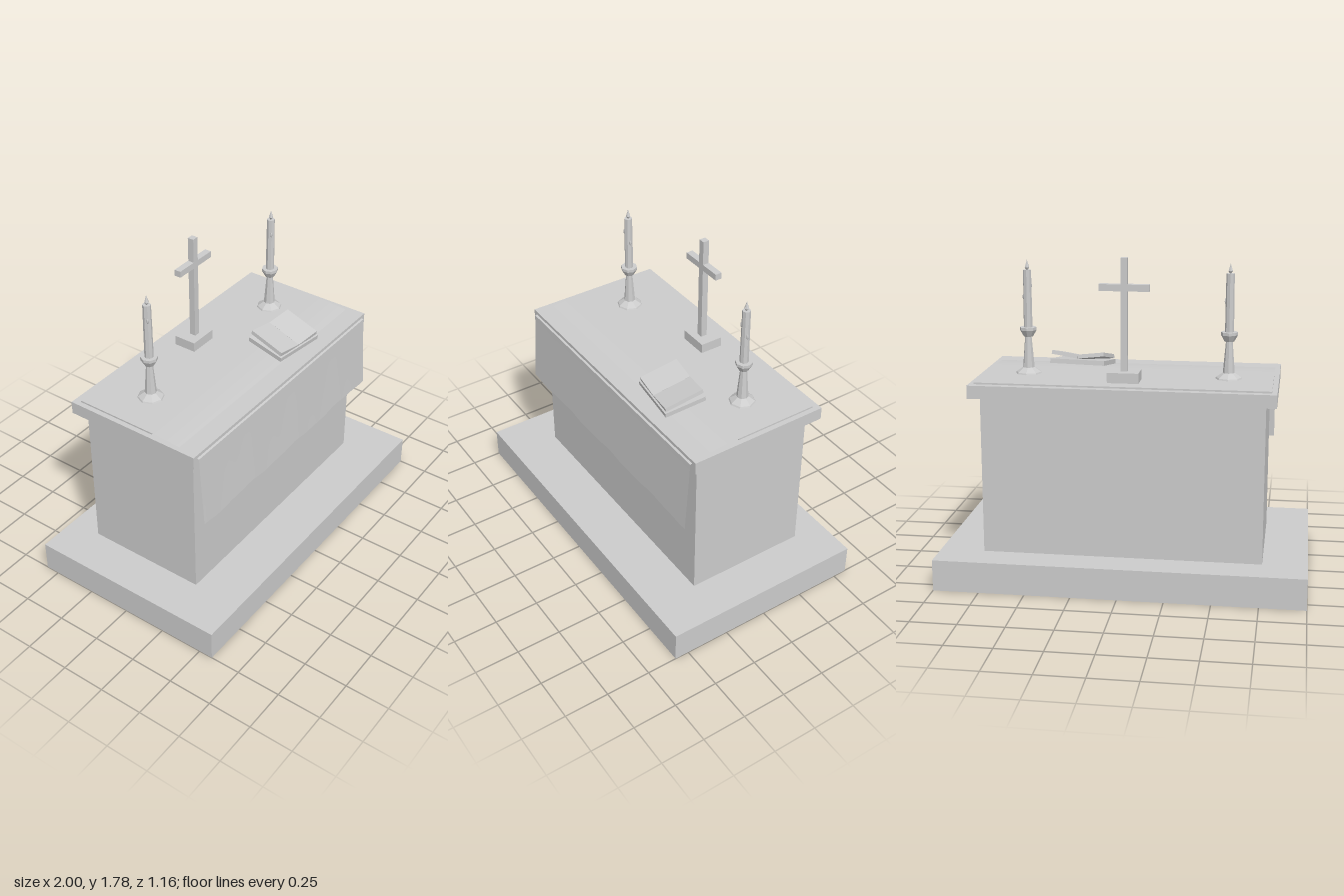
import * as THREE from 'three';

const stone = new THREE.MeshStandardMaterial({ color: 0xcccccc, side: THREE.DoubleSide });
stone.name = 'pale grey';

function add(parent, name, geometry, x = 0, y = 0, z = 0) {
  const mesh = new THREE.Mesh(geometry, stone);
  mesh.name = name;
  mesh.position.set(x, y, z);
  parent.add(mesh);
  return mesh;
}

// Box given by its extents on each axis
function block(parent, name, [x0, x1], [y0, y1], [z0, z1]) {
  return add(parent, name, new THREE.BoxGeometry(x1 - x0, y1 - y0, z1 - z0),
    (x0 + x1) / 2, (y0 + y1) / 2, (z0 + z1) / 2);
}

// Faceted turned shape from [radius, height] pairs
function turned(points, sides = 8) {
  const lathe = new THREE.LatheGeometry(points.map(p => new THREE.Vector2(...p)), sides);
  const flat = lathe.toNonIndexed();
  flat.computeVertexNormals();
  return flat;
}

// Sheet swept across x along a [z, y] profile; wave moves the last row
function sheet(profile, halfWidth, columns, wave = () => 0) {
  const last = profile.length - 1;
  const g = new THREE.PlaneGeometry(2 * halfWidth, 1, columns, last);
  const p = g.attributes.position;
  for (let i = 0; i < p.count; i++) {
    const row = Math.floor(i / (columns + 1));
    const [z, y] = profile[row];
    p.setY(i, y + (row === last ? wave(p.getX(i)) : 0));
    p.setZ(i, z);
  }
  g.computeVertexNormals();
  return g;
}

function candlestick(x) {
  const g = new THREE.Group();
  g.name = 'candlestick';
  g.position.set(x, 0, -0.137);
  add(g, 'holder', turned([[0, 1.118], [0.072, 1.122], [0.068, 1.13], [0.032, 1.155], [0.018, 1.325],
    [0.026, 1.325], [0.046, 1.36], [0.046, 1.376], [0, 1.376]]));
  add(g, 'candle', turned([[0.024, 1.37], [0.022, 1.687], [0, 1.687]]));
  add(g, 'flame', turned([[0, 1.68], [0.013, 1.7], [0.007, 1.718], [0, 1.742]], 6));
  // Wax drips on the side of the candle
  [[0.023, 1.54, 0.004], [-0.016, 1.6, 0.016]].forEach(([dx, y, dz]) => {
    const drip = add(g, 'waxDrip', new THREE.SphereGeometry(0.006, 6, 5), dx, y, dz);
    drip.scale.y = 2.6;
  });
  return g;
}

function openBook() {
  const g = new THREE.Group();
  g.name = 'openBook';
  g.position.set(0.293, 1.13, 0.133);
  g.rotation.y = -0.125;
  // Sloping rest under the pages
  const rest = add(g, 'bookRest', new THREE.BoxGeometry(0.314, 0.026, 0.235), 0, 0.01, 0);
  rest.rotation.x = 0.14;
  // Two halves meeting in a shallow valley
  const pages = new THREE.Group();
  pages.name = 'pages';
  pages.position.set(0, 0.031, 0);
  pages.rotation.x = 0.23;
  g.add(pages);
  for (const s of [-1, 1]) {
    const half = add(pages, s < 0 ? 'rightPages' : 'leftPages',
      new THREE.BoxGeometry(0.15, 0.022, 0.222), s * 0.076, 0.009, 0);
    half.rotation.z = s * 0.13;
  }
  return g;
}

export function createModel() {
  const model = new THREE.Group();
  model.name = 'altar';

  // Stonework
  block(model, 'step', [-1, 1], [0, 0.172], [-0.58, 0.58]);
  block(model, 'body', [-0.758, 0.758], [0.172, 1.042], [-0.397, 0.297]);
  block(model, 'tableTop', [-0.814, 0.814], [1.04, 1.111], [-0.452, 0.345]);

  // Cloth: top dips into the table edge, then hangs in front with a wavy hem
  add(model, 'clothTop', sheet([[-0.412, 1.111], [-0.412, 1.121], [-0.411, 1.121], [0.05, 1.121],
    [0.16, 1.117], [0.26, 1.109], [0.357, 1.09]].slice(1), 0.786, 1));
  block(model, 'clothThickness', [-0.786, 0.786], [1.105, 1.12], [-0.412, 0.06]);
  const hem = x => 0.006 * Math.sin(x * 14 + 1) + 0.003 * Math.sin(x * 31);
  add(model, 'clothFront', sheet([[0.357, 1.09], [0.362, 1.0], [0.384, 0.672]], 0.786, 32, hem));

  // Standing cross
  const cross = new THREE.Group();
  cross.name = 'cross';
  block(cross, 'crossFoot', [-0.084, 0.084], [1.118, 1.176], [-0.333, -0.204]);
  block(cross, 'crossPost', [-0.018, 0.018], [1.17, 1.776], [-0.282, -0.246]);
  block(cross, 'crossBar', [-0.134, 0.134], [1.602, 1.638], [-0.284, -0.246]);
  model.add(cross);

  model.add(candlestick(-0.546), candlestick(0.546), openBook());
  return model;
}
